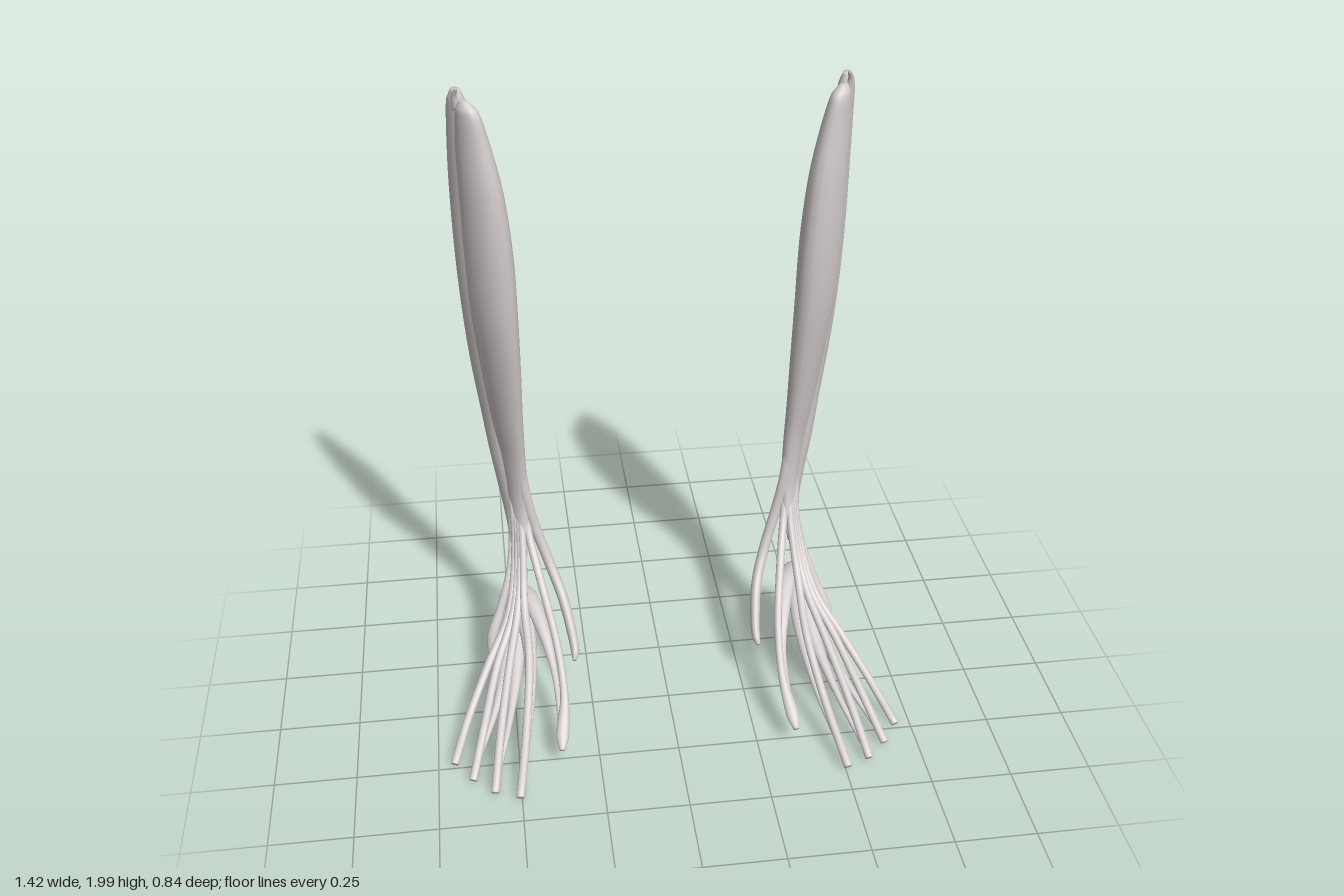
import * as THREE from 'three';

const SIDES = 16;

// Sweeps an ellipse through points [x, y, z, halfWidth, halfThickness].
// With flatAxis the rings stay level and their long axis follows it;
// otherwise the rings turn with the path.
function sweep(name, pts, material, mirror, flatAxis) {
  const path = new THREE.CatmullRomCurve3(pts.map(p => new THREE.Vector3(p[0], p[1], p[2])));
  const size = new THREE.CatmullRomCurve3(pts.map(p => new THREE.Vector3(p[3], p[4], 0)), false, 'catmullrom');
  const rings = (pts.length - 1) * 5;
  const pos = [], index = [];
  const add = v => pos.push(v.x * mirror, v.y, v.z);
  const face = (a, b, c) => (mirror > 0 ? index.push(a, b, c) : index.push(a, c, b));

  for (let i = 0; i <= rings; i++) {
    const t = i / rings;
    const c = path.getPoint(t), r = size.getPoint(t);
    const T = flatAxis ? new THREE.Vector3(0, -1, 0) : path.getTangent(t);
    const S = flatAxis ? flatAxis.clone() : new THREE.Vector3(1, 0, 0).addScaledVector(T, -T.x).normalize();
    const N = new THREE.Vector3().crossVectors(T, S);
    for (let j = 0; j < SIDES; j++) {
      const a = j / SIDES * Math.PI * 2;
      add(c.clone()
        .addScaledVector(S, Math.cos(a) * Math.max(r.x, 0.003))
        .addScaledVector(N, Math.sin(a) * Math.max(r.y, 0.003)));
    }
  }
  for (let i = 0; i < rings; i++) {
    for (let j = 0; j < SIDES; j++) {
      const k = (j + 1) % SIDES, a = i * SIDES, b = a + SIDES;
      face(a + j, a + k, b + j);
      face(a + k, b + k, b + j);
    }
  }
  // End caps
  const first = pos.length / 3, end = rings * SIDES;
  add(path.getPoint(0));
  add(path.getPoint(1));
  for (let j = 0; j < SIDES; j++) {
    const k = (j + 1) % SIDES;
    face(first, k, j);
    face(first + 1, end + j, end + k);
  }
  const geo = new THREE.BufferGeometry();
  geo.setAttribute('position', new THREE.Float32BufferAttribute(pos, 3));
  geo.setIndex(index);
  geo.computeVertexNormals();
  const mesh = new THREE.Mesh(geo, material);
  mesh.name = name;
  return mesh;
}

// Muscle bellies, from the knee down to the ankle
const BELLIES = {
  frontShinMuscle: [
    [.53, 1.965, -.255, .014, .01], [.523, 1.94, -.25, .04, .025], [.514, 1.85, -.255, .062, .038],
    [.499, 1.7, -.253, .08, .051], [.489, 1.5, -.257, .089, .058], [.484, 1.3, -.268, .089, .055],
    [.475, 1.1, -.291, .08, .046], [.465, .9, -.317, .066, .036], [.454, .75, -.331, .054, .028],
    [.445, .6, -.325, .042, .023], [.443, .5, -.295, .032, .018], [.445, .42, -.25, .018, .012]],
  outerShinMuscle: [
    [.55, 1.985, -.3, .016, .012], [.551, 1.95, -.307, .032, .022], [.549, 1.85, -.325, .045, .028],
    [.546, 1.7, -.34, .058, .032], [.543, 1.5, -.344, .06, .034], [.535, 1.3, -.348, .06, .035],
    [.522, 1.1, -.361, .057, .035], [.503, .9, -.37, .05, .033], [.489, .75, -.37, .042, .031],
    [.471, .6, -.366, .038, .026], [.463, .52, -.352, .034, .021], [.46, .44, -.29, .022, .014]],
  deepShinMuscle: [
    [.49, 1.4, -.31, .01, .006], [.477, 1.2, -.333, .036, .018], [.463, .95, -.352, .038, .021],
    [.449, .75, -.358, .034, .019], [.442, .6, -.345, .027, .016], [.44, .48, -.285, .014, .01]],
};

// Toe tendons: bend points after the shared ankle bundle
const TOES = [
  [[.5, .29, -.14], [.575, .18, -.03], [.65, .08, .11], [.7, .013, .24]],
  [[.485, .3, -.14], [.55, .19, .0], [.6, .1, .17], [.645, .014, .32]],
  [[.47, .31, -.14], [.51, .21, .02], [.55, .11, .21], [.58, .017, .385]],
  [[.45, .32, -.14], [.447, .23, .02], [.47, .12, .21], [.505, .02, .418]],
];

// Short foot muscle: bands fanning from the heel over the instep
const FAN = [
  [[.474, .25, -.32], [.436, .285, -.23], [.4, .25, -.12], [.37, .17, .03], [.364, .09, .22]],
  [[.484, .24, -.32], [.46, .265, -.22], [.442, .21, -.06], [.455, .12, .15], [.5, .03, .37]],
  [[.492, .22, -.32], [.48, .235, -.2], [.485, .175, -.04], [.52, .1, .15], [.57, .03, .33]],
  [[.5, .2, -.31], [.502, .205, -.2], [.52, .155, -.05], [.57, .09, .12], [.63, .03, .26]],
];
const FAN_WIDTH = [.024, .03, .023, .011, .008];
const FAN_THICKNESS = [.017, .022, .017, .009, .007];

function buildLeg(name, mirror, material) {
  const leg = new THREE.Group();
  leg.name = name;
  const slant = new THREE.Vector3(.6, 0, -.8);
  const strand = (n, pts) => leg.add(sweep(n, pts, material, mirror));

  for (const [n, pts] of Object.entries(BELLIES)) leg.add(sweep(n, pts, material, mirror, slant));

  // Small slip at the very top
  strand('topSlip', [[.55, 1.93, -.29, .012, .01], [.555, 1.97, -.28, .008, .006], [.548, 1.995, -.268, .005, .004]]);

  TOES.forEach((bend, i) => {
    const x = .465 - i * .008;
    strand('toeTendon' + (i + 1), [
      [x, .62, -.34, .012, .01], [x, .47, -.28 + i * .008, .012, .011],
      ...bend.map(p => [...p, .013, .011]),
    ]);
  });

  FAN.forEach((bend, i) => strand('footMuscleBand' + (i + 1), [
    [.498, .172, -.368, .012, .009],
    ...bend.map((p, j) => [...p, FAN_WIDTH[j], FAN_THICKNESS[j]]),
  ]));

  // Inner strap ending on the inside of the foot
  strand('innerAnkleTendon', [
    [.437, .78, -.305, .016, .012], [.42, .62, -.3, .017, .013], [.394, .5, -.292, .017, .015],
    [.356, .38, -.262, .017, .018], [.323, .29, -.203, .017, .02], [.304, .22, -.12, .016, .022],
    [.297, .175, -.05, .013, .017], [.302, .16, -.03, .006, .006]]);

  // Big toe tendon with a slightly swollen tip
  strand('bigToeTendon', [
    [.436, .65, -.33, .013, .011], [.42, .5, -.275, .013, .011], [.388, .37, -.15, .013, .011],
    [.357, .26, 0, .012, .01], [.347, .165, .14, .013, .011], [.362, .095, .24, .02, .013],
    [.367, .07, .285, .009, .008]]);

  // Outer tendon ending at the side of the foot
  strand('outerFootTendon', [
    [.475, .65, -.37, .014, .012], [.468, .5, -.345, .014, .012], [.485, .38, -.262, .013, .011],
    [.525, .26, -.21, .014, .013], [.558, .175, -.175, .018, .016], [.568, .115, -.155, .01, .009]]);
  return leg;
}

export function createModel() {
  const material = new THREE.MeshStandardMaterial({ color: 0xd2cccb });
  material.name = 'pale grey';
  const model = new THREE.Group();
  model.name = 'lowerLegMuscles';
  model.add(buildLeg('leftLeg', 1, material), buildLeg('rightLeg', -1, material));
  return model;
}
